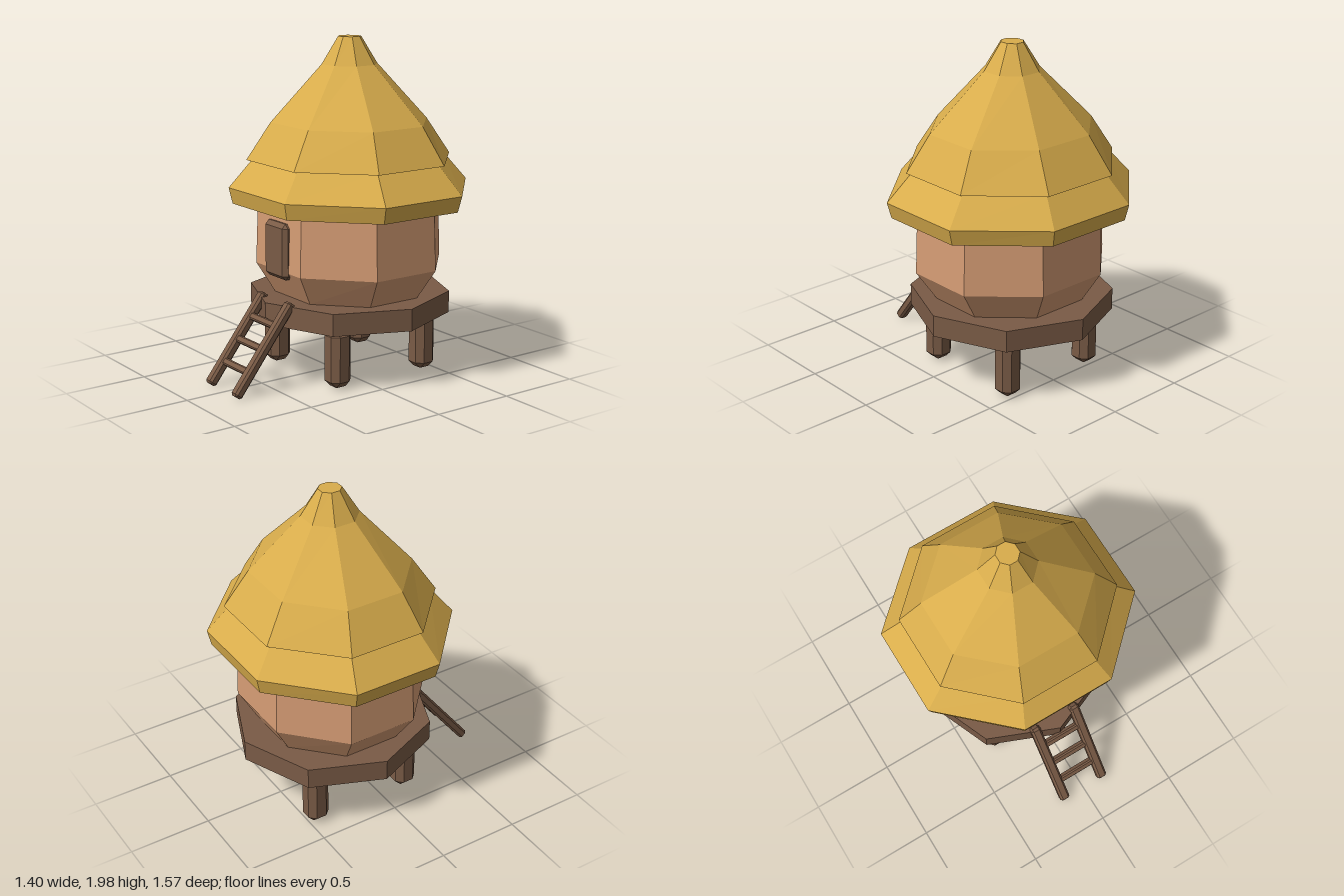
import * as THREE from 'three';
import { ConvexGeometry } from 'three/addons/geometries/ConvexGeometry.js';

const material = (name, color) => Object.assign(new THREE.MeshStandardMaterial({ color }), { name });

// Closed, faceted octagonal body from rings of [y, half width in x, half depth in z], bottom to top
function octagonBody(rings) {
  const k = 1 / Math.cos(Math.PI / 8);
  const corner = ([y, hx, hz], i) => {
    const a = (i + 0.5) * Math.PI / 4;
    return [Math.sin(a) * hx * k, y, Math.cos(a) * hz * k];
  };
  const first = rings[0], last = rings[rings.length - 1];
  const pos = [];
  for (let i = 0; i < 8; i++) {
    for (let r = 0; r + 1 < rings.length; r++) {
      const a = corner(rings[r], i), b = corner(rings[r], i + 1);
      const c = corner(rings[r + 1], i + 1), d = corner(rings[r + 1], i);
      pos.push(...a, ...b, ...c, ...a, ...c, ...d);
    }
    pos.push(0, first[0], 0, ...corner(first, i + 1), ...corner(first, i));
    pos.push(0, last[0], 0, ...corner(last, i), ...corner(last, i + 1));
  }
  const g = new THREE.BufferGeometry();
  g.setAttribute('position', new THREE.Float32BufferAttribute(pos, 3));
  g.computeVertexNormals();
  return g;
}

// Box with every edge and corner cut off by c
function chamferBox(w, h, d, c) {
  const points = [];
  for (const sx of [-1, 1]) for (const sy of [-1, 1]) for (const sz of [-1, 1]) {
    for (let axis = 0; axis < 3; axis++) {
      const cut = [c, c, c];
      cut[axis] = 0;
      points.push(new THREE.Vector3(
        sx * (w / 2 - cut[0]), sy * (h / 2 - cut[1]), sz * (d / 2 - cut[2])));
    }
  }
  return new ConvexGeometry(points);
}

export function createModel() {
  const thatch = material('thatch', 0xd9ad4c);
  const clay = material('clay', 0xd59c74);
  const wood = material('wood', 0x7a5b46);

  const model = new THREE.Group();
  model.name = 'stiltHut';
  const add = (parent, name, geometry, mat, x = 0, y = 0, z = 0) => {
    const mesh = new THREE.Mesh(geometry, mat);
    mesh.name = name;
    mesh.position.set(x, y, z);
    parent.add(mesh);
    return mesh;
  };

  // The hut's axis sits behind the centre because the ladder reaches forward
  const hut = new THREE.Group();
  hut.name = 'hut';
  hut.position.z = -0.13;
  model.add(hut);

  // Octagonal deck with a corner facing forward
  add(hut, 'platform', new THREE.CylinderGeometry(0.6, 0.6, 0.13, 8).toNonIndexed(), wood, 0, 0.435);
  const deck = hut.children[0].geometry;
  deck.computeVertexNormals();

  // Stilts
  const stilt = chamferBox(0.138, 0.345, 0.138, 0.037);
  for (const x of [-0.31, 0.31]) for (const z of [-0.31, 0.31]) {
    add(hut, 'stilt', stilt, wood, x, 0.2, z);
  }

  // Walls
  add(hut, 'walls', octagonBody([
    [0.5, 0.435, 0.412], [0.68, 0.55, 0.511], [1.1, 0.535, 0.497],
  ]), clay);

  // Two overlapping roof tiers
  add(hut, 'lowerRoof', octagonBody([
    [1.04, 0.675, 0.636], [1.135, 0.7, 0.656], [1.3, 0.555, 0.527],
  ]), thatch);
  add(hut, 'upperRoof', octagonBody([
    [1.295, 0.588, 0.562], [1.51, 0.46, 0.427], [1.84, 0.154, 0.154], [2, 0.061, 0.064],
  ]), thatch);

  // Door
  add(hut, 'door', chamferBox(0.22, 0.33, 0.1, 0.025), wood, 0, 0.802, 0.488);

  // Ladder leaning on the deck
  const ladder = new THREE.Group();
  ladder.name = 'ladder';
  ladder.position.set(0, 0.272, 0.576);
  ladder.rotation.x = -0.662;
  model.add(ladder);
  const rail = chamferBox(0.063, 0.615, 0.056, 0.013);
  for (const x of [-0.138, 0.138]) add(ladder, 'rail', rail, wood, x);
  const rung = chamferBox(0.24, 0.042, 0.042, 0.008);
  for (const y of [-0.152, 0, 0.152]) add(ladder, 'rung', rung, wood, 0, y);

  return model;
}
